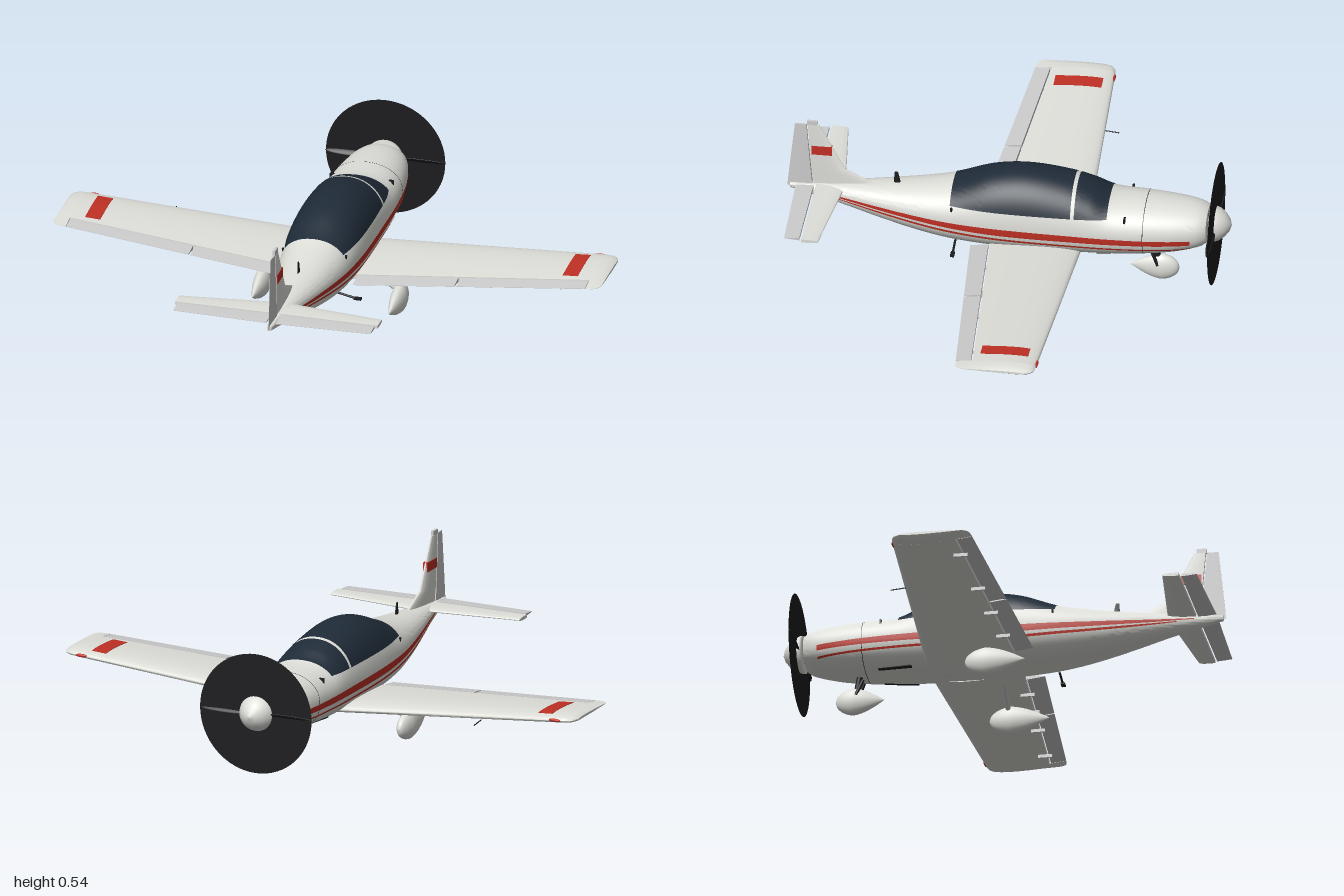
import * as THREE from 'three';
import { toCreasedNormals } from 'three/addons/utils/BufferGeometryUtils.js';

const mat = (color) => new THREE.MeshStandardMaterial({ color, side: THREE.DoubleSide });
const GREY = mat(0xcccccc), WHITE = mat(0xdedfd9), RED = mat(0xc03024), GLASS = mat(0x1f2b38), BLACK = mat(0x1c1c1f);

// Fuselage stations: z, half width, bottom, widest height, top
const BODY = [
  [-0.708, 0.078, 0.188, 0.247, 0.305], [-0.695, 0.09, 0.179, 0.246, 0.313], [-0.65, 0.106, 0.165, 0.243, 0.324],
  [-0.58, 0.12, 0.149, 0.24, 0.331], [-0.49, 0.131, 0.138, 0.237, 0.336], [-0.365, 0.138, 0.128, 0.235, 0.343],
  [-0.3, 0.139, 0.125, 0.235, 0.372], [-0.22, 0.139, 0.123, 0.235, 0.397], [-0.07, 0.139, 0.121, 0.235, 0.415],
  [0.06, 0.136, 0.123, 0.236, 0.399], [0.2, 0.124, 0.132, 0.238, 0.347], [0.32, 0.104, 0.15, 0.242, 0.323],
  [0.45, 0.077, 0.179, 0.25, 0.307], [0.6, 0.043, 0.217, 0.26, 0.292], [0.78, 0.008, 0.257, 0.269, 0.277]];

// Cubic interpolation between the stations
function bodyAt(z) {
  let i = 0;
  while (i < BODY.length - 2 && z > BODY[i + 1][0]) i++;
  const row = (k) => BODY[THREE.MathUtils.clamp(k, 0, BODY.length - 1)];
  const [p, a, b, n] = [row(i - 1), row(i), row(i + 1), row(i + 2)];
  const d = b[0] - a[0], t = (z - a[0]) / d;
  return [1, 2, 3, 4].map((c) => {
    const ma = (b[c] - p[c]) / (b[0] - p[0]) * d, mb = (n[c] - a[c]) / (n[0] - a[0]) * d;
    return a[c] + t * ma + t * t * (3 * (b[c] - a[c]) - 2 * ma - mb) + t * t * t * (2 * (a[c] - b[c]) + ma + mb);
  });
}
const power = (angleSin) => (angleSin < 0 ? 0.82 : 0.93);
function bodyPoint(z, angle, grow = 1) {
  const [w, bottom, mid, top] = bodyAt(z);
  const s = Math.sin(angle), c = Math.cos(angle), p = power(s);
  const h = s < 0 ? mid - bottom : top - mid;
  return [Math.sign(c) * w * Math.abs(c) ** p * grow, mid + Math.sign(s) * h * Math.abs(s) ** p * grow, z];
}
function bodyAngle(z, y) {
  const [, bottom, mid, top] = bodyAt(z);
  const r = (y - mid) / (y < mid ? mid - bottom : top - mid);
  return Math.sign(r) * Math.asin(Math.min(1, Math.abs(r) ** (1 / power(r))));
}

// Skin rings of points; solids get closed rings, end caps and outward faces
function skin(rings, solid, crease = 0.6) {
  const n = rings[0].length, pos = rings.flat(2), idx = [];
  for (let i = 0; i < rings.length - 1; i++)
    for (let j = 0; j < (solid ? n : n - 1); j++) {
      const a = i * n + j, b = i * n + (j + 1) % n;
      idx.push(a, b, b + n, a, b + n, a + n);
    }
  if (solid) for (const [k, flip] of [[0, true], [rings.length - 1, false]]) {
    const mid = [0, 1, 2].map((c) => rings[k].reduce((sum, p) => sum + p[c], 0) / n);
    const m = pos.length / 3;
    pos.push(...mid);
    for (let j = 0; j < n; j++) {
      const a = k * n + j, b = k * n + (j + 1) % n;
      idx.push(...(flip ? [m, b, a] : [m, a, b]));
    }
  }
  const v = (i) => new THREE.Vector3().fromArray(pos, i * 3);
  let volume = 0;
  for (let i = 0; i < idx.length; i += 3) volume += v(idx[i]).dot(v(idx[i + 1]).cross(v(idx[i + 2])));
  if (solid && volume < 0) idx.reverse();
  const g = new THREE.BufferGeometry();
  g.setAttribute('position', new THREE.Float32BufferAttribute(pos, 3));
  g.setIndex(idx);
  g.computeVertexNormals();
  return toCreasedNormals(g, crease);
}

const range = (n, a, b) => Array.from({ length: n + 1 }, (_, i) => a + (b - a) * i / n);

// Aerofoil solid; station: span, offset, leading z, trailing z, thickness ratio, cut from z, cut to z
function foil(stations, side = 1, vertical = false) {
  const half = (f) => 5 * (0.2969 * Math.sqrt(f) - 0.126 * f - 0.3516 * f * f + 0.2843 * f ** 3 - 0.1036 * f ** 4);
  return skin(stations.map(([s, o, le, te, t, z0 = le, z1 = te]) => {
    const steps = range(14, 0, 1).map((u) => {
      const z = z0 + (z1 - z0) * u * u * (2 - u), f = THREE.MathUtils.clamp((z - le) / (te - le), 0, 1);
      return [z, half(f) * t * (te - le) + 0.0006];
    });
    const put = (k) => ([z, h]) => (vertical ? [o + k * h, s, z] : [side * s, o + k * h, z]);
    return [...steps.map(put(1)), ...steps.reverse().map(put(-1))];
  }), true);
}

// Wing planform: root to outer panel
function wingStation(x, from, to, lift = 0) {
  const a = (x - 0.14) / 0.81, le = -0.267 + 0.032 * a, te = 0.12 - 0.07 * a, hinge = 0.05 - 0.06 * a;
  return [x, 0.153 + 0.057 * a + lift, le, te, 0.11, from ?? le, to === 'hinge' ? hinge : to ?? te];
}
const controlStation = (x) => wingStation(x, 0.056 - 0.06 * (x - 0.14) / 0.81);

export function createModel() {
  const model = new THREE.Group();
  const add = (name, geometry, material, x = 0, y = 0, z = 0, parent = model) => {
    const m = new THREE.Mesh(geometry, material);
    m.name = name;
    m.position.set(x, y, z);
    parent.add(m);
    return m;
  };
  const rod = (name, a, b, r, material) => {
    const p = new THREE.Vector3(...a), q = new THREE.Vector3(...b);
    const m = add(name, new THREE.CylinderGeometry(r, r, p.distanceTo(q), 12), material);
    m.position.copy(p).add(q).multiplyScalar(0.5);
    m.quaternion.setFromUnitVectors(new THREE.Vector3(0, 1, 0), q.sub(p).normalize());
    return m;
  };

  // Fuselage with canopy bulge
  const around = range(56, 0, Math.PI * 2).slice(0, -1);
  add('fuselage', skin(range(90, -0.708, 0.78).map((z) => around.map((a) => bodyPoint(z, a))), true, 0.8), WHITE);
  for (const [name, z0, z1] of [['windscreen', -0.362, -0.247], ['canopy', -0.234, 0.197]])
    add(name, skin(range(36, z0, z1).map((z) => {
      const a = bodyAngle(z, 0.3);
      return range(32, a, Math.PI - a).map((t) => bodyPoint(z, t, 1.012));
    }), false), GLASS);
  add('cowlSeam', skin([-0.4915, -0.4895].map((z) => [...around, 0].map((t) => bodyPoint(z, t, 1.004))), false), BLACK);

  // Side stripes: points of z, lower y, upper y
  const STRIPES = {
    wideStripe: [[-0.655, 0.213, 0.232], [0, 0.211, 0.238], [0.25, 0.222, 0.242], [0.45, 0.238, 0.251], [0.68, 0.261, 0.264]],
    thinStripe: [[-0.655, 0.188, 0.194], [0, 0.189, 0.198], [0.25, 0.203, 0.212], [0.45, 0.225, 0.232], [0.62, 0.249, 0.252]] };
  for (const side of [1, -1]) for (const [name, pts] of Object.entries(STRIPES)) {
    const edge = (k) => new THREE.CatmullRomCurve3(pts.map((p) => new THREE.Vector3(0, p[k], p[0])));
    const low = edge(1), high = edge(2);
    add(name, skin(range(70, 0, 1).map((u) => {
      const p = low.getPoint(u), q = high.getPoint(u);
      return range(4, bodyAngle(p.z, p.y), bodyAngle(p.z, q.y)).map((t) => {
        const [x, y, z] = bodyPoint(p.z, t, 1.015);
        return [side * x, y, z];
      });
    }), false), RED);
  }

  // Propeller and spinner
  const spinner = add('spinner', new THREE.LatheGeometry([[0, 0], [0.067, 0], [0.067, 0.012], [0.058, 0.035],
    [0.042, 0.055], [0.022, 0.07], [0, 0.077]].map((p) => new THREE.Vector2(...p)), 40), WHITE, 0, 0.247, -0.714);
  spinner.rotation.x = -Math.PI / 2;
  add('propellerHub', new THREE.CylinderGeometry(0.04, 0.04, 0.02, 24).rotateX(Math.PI / 2), BLACK, 0, 0.247, -0.711);
  add('propellerDisc', new THREE.CircleGeometry(0.218, 64), BLACK, 0, 0.247, -0.735);

  // Teardrop wheel fairing, round nose towards -z
  const fairing = (name, x, z, length, r) => {
    const pts = [[0, 0], [0.04, 0.42], [0.14, 0.76], [0.28, 0.97], [0.4, 1], [0.6, 0.8], [0.8, 0.45], [0.94, 0.14], [1, 0]];
    const curve = new THREE.SplineCurve(pts.map(([u, k]) => new THREE.Vector2(k * r, u * length)));
    const outline = curve.getPoints(32).map((p) => new THREE.Vector2(Math.max(p.x, 0), p.y));
    add(name, new THREE.LatheGeometry(outline, 28).rotateX(Math.PI / 2).scale(0.56, 1, 1), WHITE, x, r, z);
    add(name + 'Tyre', new THREE.TorusGeometry(r * 0.6, r * 0.19, 10, 28).rotateY(Math.PI / 2), BLACK, x, r * 0.8, z + length * 0.34);
  };
  fairing('noseWheelFairing', 0, -0.605, 0.175, 0.05);
  rod('noseLeg', [0, 0.06, -0.535], [0, 0.16, -0.515], 0.011, BLACK);

  for (const s of [1, -1]) {
    // Wings with flaps, ailerons and rounded tips
    add('wing', foil([0.06, 0.14, 0.5, 0.949].map((x) => wingStation(x, undefined, 'hinge')), s), WHITE);
    add('flap', foil([0.12, 0.481].map(controlStation), s), GREY);
    add('aileron', foil([0.489, 0.947].map(controlStation), s), GREY);
    add('wingTip', foil([[0.949, 0.21, -0.235, 0.05, 0.11], [0.975, 0.211, -0.231, 0.047, 0.1],
      [0.99, 0.212, -0.222, 0.04, 0.075], [1, 0.213, -0.2, 0.022, 0.035]], s), WHITE);
    add('wingBand', foil([0.845, 0.9].map((x) => wingStation(x, -0.2, -0.03, 0.0015)), s), RED);
    add('tipLight', new THREE.SphereGeometry(0.006, 12, 8).scale(4, 1, 1), RED, s * 0.925, 0.209, -0.234);
    for (const x of [0.25, 0.42, 0.6, 0.85])
      add('hingeBracket', new THREE.BoxGeometry(0.005, 0.012, 0.05), GREY, s * x, 0.137 + 0.07 * (x - 0.14), 0.045 - 0.06 * (x - 0.14) / 0.81);

    // Tailplane and elevators
    add('tailplane', foil([[0, 0.277, 0.583, 0.757, 0.09, 0.583, 0.686], [0.37, 0.277, 0.627, 0.75, 0.09, 0.627, 0.686]], s), WHITE);
    add('elevator', foil([[0.018, 0.277, 0.583, 0.758, 0.09, 0.694, 0.758], [0.36, 0.277, 0.627, 0.748, 0.09, 0.694, 0.748]], s), GREY);

    // Main landing gear
    fairing('mainWheelFairing', s * 0.25, -0.1, 0.215, 0.051);
    rod('mainLeg', [s * 0.25, 0.075, -0.03], [s * 0.125, 0.158, -0.03], 0.009, GREY);

    // Propeller blades, nose fork, exhausts, vents, steps
    const blade = add('propellerBlade', new THREE.SphereGeometry(1, 20, 10).scale(0.1, 0.014, 0.004), BLACK, s * 0.12, 0.247, -0.732);
    blade.rotation.x = s * 0.8;
    rod('noseFork', [s * 0.022, 0.065, -0.53], [s * 0.014, 0.125, -0.505], 0.006, BLACK);
    rod('exhaust', [s * 0.06, 0.145, -0.44], [s * 0.075, 0.14, -0.32], 0.009, BLACK);
    add('cowlVent', new THREE.BoxGeometry(0.02, 0.028, 0.007), BLACK, s * 0.107, 0.295, -0.425);
    rod('canopyLatch', [s * 0.113, 0.28, 0.19], [s * 0.116, 0.297, 0.19], 0.004, BLACK);
  }
  rod('step', [0.08, 0.145, 0.18], [0.15, 0.13, 0.18], 0.004, BLACK);
  add('stepPad', new THREE.BoxGeometry(0.026, 0.008, 0.014), BLACK, 0.155, 0.13, 0.18);
  rod('airspeedProbe', [-0.64, 0.175, -0.24], [-0.64, 0.17, -0.295], 0.002, BLACK);

  // Fin with dorsal fillet, rudder and top cap
  add('fin', foil([[0.27, 0, 0.45, 0.79, 0.05, 0.45, 0.694], [0.302, 0, 0.485, 0.787, 0.05, 0.485, 0.697],
    [0.348, 0, 0.583, 0.782, 0.085, 0.583, 0.702], [0.525, 0, 0.675, 0.763, 0.11, 0.675, 0.717]], 1, true), WHITE);
  add('rudder', foil([[0.264, 0, 0.54, 0.79, 0.07, 0.699, 0.79], [0.348, 0, 0.583, 0.782, 0.085, 0.707, 0.782],
    [0.525, 0, 0.675, 0.763, 0.11, 0.722, 0.763]], 1, true), GREY);
  add('finCap', new THREE.BoxGeometry(0.01, 0.018, 0.036), GREY, 0, 0.532, 0.702);
  add('finPatch', new THREE.BoxGeometry(0.0175, 0.035, 0.073), RED, 0, 0.4225, 0.667);

  // Antenna blade
  add('antenna', foil([[0.305, 0, 0.385, 0.412, 0.25], [0.354, 0, 0.396, 0.408, 0.25]], 1, true), BLACK);
  return model;
}
